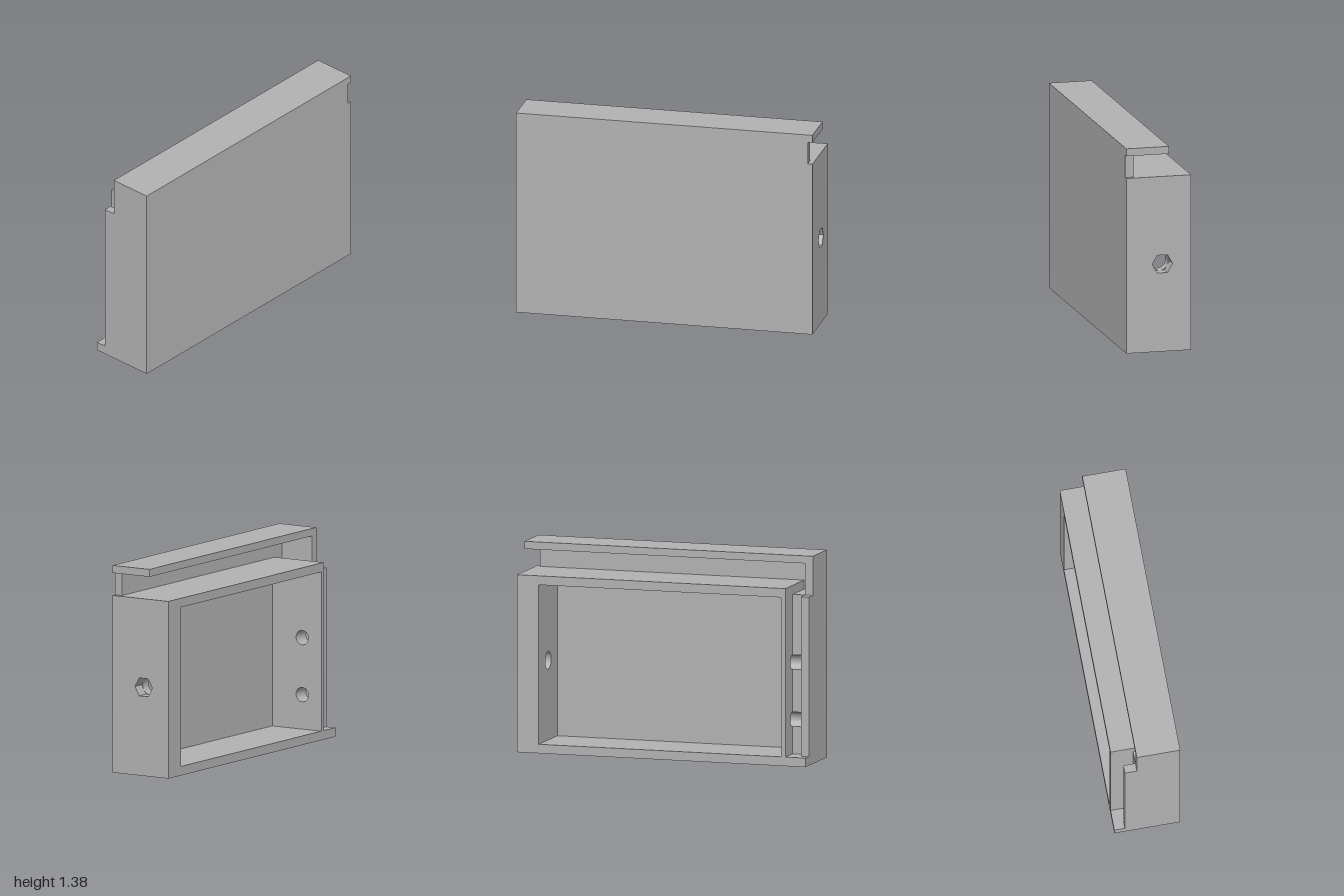
import * as THREE from 'three';
import { toCreasedNormals } from 'three/addons/utils/BufferGeometryUtils.js';

export function createModel() {
  const group = new THREE.Group();
  const grey = new THREE.MeshStandardMaterial({ color: 0xb2b2b2 });
  grey.name = 'plain grey';

  const add = (name, geometry) => {
    const mesh = new THREE.Mesh(geometry, grey);
    mesh.name = name;
    group.add(mesh);
  };
  const box = (name, x0, x1, y0, y1, z0, z1) =>
    add(name, new THREE.BoxGeometry(x1 - x0, y1 - y0, z1 - z0)
      .translate((x0 + x1) / 2, (y0 + y1) / 2, (z0 + z1) / 2));
  const polygon = (points) => new THREE.Shape(points.map(([a, b]) => new THREE.Vector2(a, b)));
  const rect = (a0, a1, b0, b1) => polygon([[a0, b0], [a1, b0], [a1, b1], [a0, b1]]);
  const extrude = (shape, depth) => toCreasedNormals(
    new THREE.ExtrudeGeometry(shape, { depth, bevelEnabled: false, curveSegments: 32 }), 0.5);
  // Side profile with coordinates (-z, y), extruded from x0 to x1
  const sidePlate = (name, shape, x0, x1) =>
    add(name, extrude(shape, x1 - x0).rotateY(Math.PI / 2).translate(x0, 0, 0));
  const roundHole = (a, b, r) => new THREE.Path().absarc(a, b, r, 0, Math.PI * 2, true);

  const back = 0.22, front = 0.165;          // measured along -z and +z
  const floorY = 0.06, roofY = 1.12, bodyY = 1.18, lipY = 1.33, topY = 1.38;
  const wireHoles = [0.29, 0.67], wireR = 0.048;

  // Front plate with a small notch below the lip
  const plate = polygon([[-1, 0], [1, 0], [1, bodyY], [0.97, bodyY],
    [0.97, lipY], [1, lipY], [1, topY], [-1, topY]]);
  add('frontPlate', extrude(plate, 0.22 - front).translate(0, 0, front));

  // Overhanging lip, floor and compartment roof
  box('topLip', -1, 1, lipY, topY, -0.07, front);
  box('floor', -1, 1, 0, floorY, -back, front);
  box('compartmentRoof', -0.86, 1, roofY, bodyY, -back, front);

  // Thick end wall: hexagonal pocket outside, round bore inside
  const inner = rect(-front, back, floorY, roofY);
  inner.holes.push(roundHole(0.025, 0.59, 0.06));
  sidePlate('boredEndWall', inner, 0.85, 0.92);
  const outer = rect(-front, back, floorY, roofY);
  const hex = [];
  for (let i = 0; i < 6; i++) {
    const t = -i * Math.PI / 3;
    hex.push(new THREE.Vector2(0.025 + 0.069 * Math.cos(t), 0.59 + 0.069 * Math.sin(t)));
  }
  outer.holes.push(new THREE.Path(hex));
  sidePlate('hexPocketEndWall', outer, 0.92, 1);

  // Thin wall with two round holes
  const thin = rect(-front, back, floorY, roofY);
  wireHoles.forEach((y) => thin.holes.push(roundHole(0.07, y, wireR)));
  sidePlate('thinInnerWall', thin, -0.86, -0.83);

  // Channel bed with half-round grooves in line with the holes
  const bed = new THREE.Shape();
  bed.moveTo(-front, floorY);
  bed.lineTo(0.07, floorY);
  wireHoles.forEach((y) => {
    bed.lineTo(0.07, y - wireR);
    bed.absarc(0.07, y, wireR, -Math.PI / 2, Math.PI / 2, true);
  });
  bed.lineTo(0.07, roofY);
  bed.lineTo(-front, roofY);
  sidePlate('channelBed', bed, -0.945, -0.86);

  // Stepped outer wall closing the side channel and the top slot
  sidePlate('outerChannelWall', polygon([[-front, floorY], [0.15, floorY], [0.15, roofY],
    [0.07, roofY], [0.07, lipY], [-front, lipY]]), -1, -0.945);

  return group;
}
